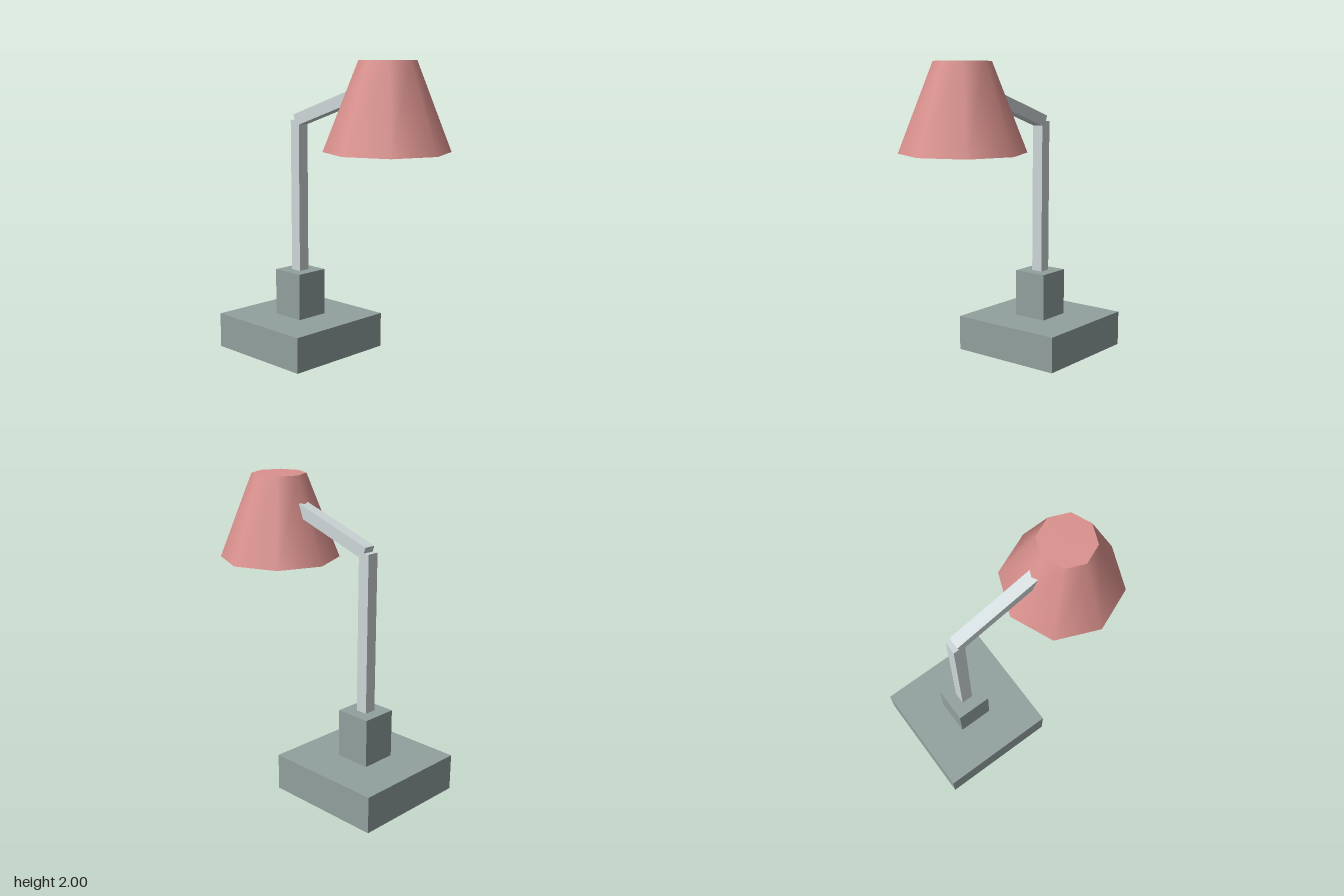
import * as THREE from 'three';

function material(name, color) {
  const m = new THREE.MeshStandardMaterial({ color });
  m.name = name;
  return m;
}

export function createModel() {
  const lamp = new THREE.Group();
  lamp.name = 'deskLamp';

  const baseGrey = material('base grey', 0x91a09e);
  const armGrey = material('arm light grey', 0xcdd6d8);
  const shadeRed = material('shade soft red', 0xda918d);

  const add = (name, geometry, mat, x, y, z = 0) => {
    const mesh = new THREE.Mesh(geometry, mat);
    mesh.name = name;
    mesh.position.set(x, y, z);
    lamp.add(mesh);
    return mesh;
  };

  // Square foot and socket
  add('base', new THREE.BoxGeometry(0.8, 0.24, 0.8), baseGrey, -0.4, 0.12);
  add('socket', new THREE.BoxGeometry(0.24, 0.32, 0.24), baseGrey, -0.4, 0.4);

  // Upright pole
  add('pole', new THREE.BoxGeometry(0.08, 1.04, 0.08), armGrey, -0.4, 1.08);

  // Sloping arm from the pole top into the shade
  const start = new THREE.Vector2(-0.4, 1.6);
  const end = new THREE.Vector2(0.2, 1.8);
  const arm = add('arm', new THREE.BoxGeometry(start.distanceTo(end), 0.08, 0.08), armGrey,
    (start.x + end.x) / 2, (start.y + end.y) / 2);
  arm.rotation.z = end.clone().sub(start).angle();

  // Closed eight-sided shade with smooth sides
  add('shade', new THREE.CylinderGeometry(0.18, 0.4, 0.56, 8), shadeRed, 0.4, 1.72);

  return lamp;
}
